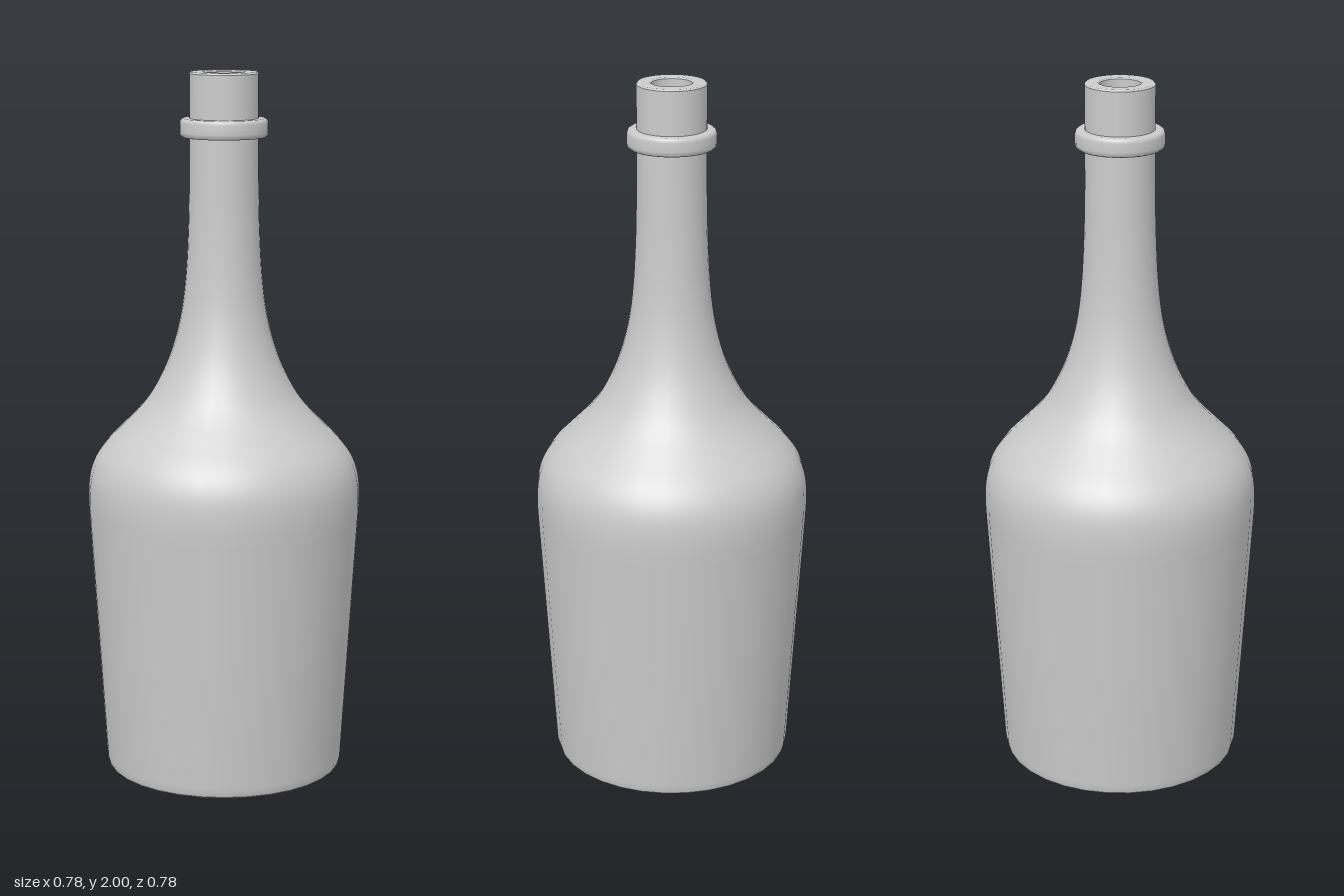
import * as THREE from 'three';

const SEGMENTS = 32;

export function createModel() {
  const bottle = new THREE.Group();
  bottle.name = 'bottle';
  const material = new THREE.MeshStandardMaterial({ color: 0xcccccc, side: THREE.DoubleSide });

  const vectors = (pairs) => pairs.map(([r, y]) => new THREE.Vector2(r, y));
  const smooth = (pairs, n) => new THREE.SplineCurve(vectors(pairs)).getPoints(n);

  // Each profile turns into its own surface, so the joins stay crisp
  function turn(name, points) {
    const mesh = new THREE.Mesh(new THREE.LatheGeometry(points, SEGMENTS), material);
    mesh.name = name;
    bottle.add(mesh);
  }

  // Tapered body, shoulder and slender neck
  turn('bodyWall', vectors([[0.335, 0.005], [0.342, 0.03], [0.365, 0.4], [0.386, 0.74]]));
  turn('shoulderAndNeck', smooth([
    [0.386, 0.74], [0.388, 0.8], [0.383, 0.86], [0.366, 0.91], [0.335, 0.955],
    [0.286, 1.005], [0.238, 1.055], [0.198, 1.11], [0.155, 1.2], [0.124, 1.31],
    [0.108, 1.43], [0.1, 1.58], [0.098, 1.7], [0.097, 1.83],
  ], 52));

  // Collar ring with softened edges
  turn('collar', vectors([
    [0.096, 1.82], [0.117, 1.82], [0.123, 1.826], [0.124, 1.835],
    [0.124, 1.86], [0.121, 1.868], [0.115, 1.872], [0.096, 1.872],
  ]));

  // Mouth: outer wall, flat rim and bore
  turn('mouthWall', vectors([[0.097, 1.86], [0.097, 1.995]]));
  turn('mouthRim', vectors([[0.097, 1.995], [0.093, 2], [0.06, 2], [0.057, 1.996]]));
  turn('bore', vectors([[0.057, 1.996], [0.057, 1.5]]));

  // Inner wall, from the bore down to the floor
  turn('innerWall', smooth([
    [0.057, 1.5], [0.075, 1.36], [0.115, 1.2], [0.165, 1.1], [0.25, 1], [0.325, 0.9],
    [0.348, 0.78], [0.335, 0.5], [0.316, 0.2], [0.308, 0.05],
  ], 36));
  turn('innerFloor', smooth([[0.308, 0.05], [0.24, 0.2], [0.14, 0.33], [0, 0.4]], 16));

  // Base: narrow standing ring around a deep hollow
  turn('standingRing', vectors([[0.308, 0.012], [0.316, 0], [0.33, 0], [0.335, 0.005]]));
  turn('baseHollow', smooth([[0, 0.37], [0.13, 0.3], [0.23, 0.17], [0.308, 0.012]], 16));

  return bottle;
}
